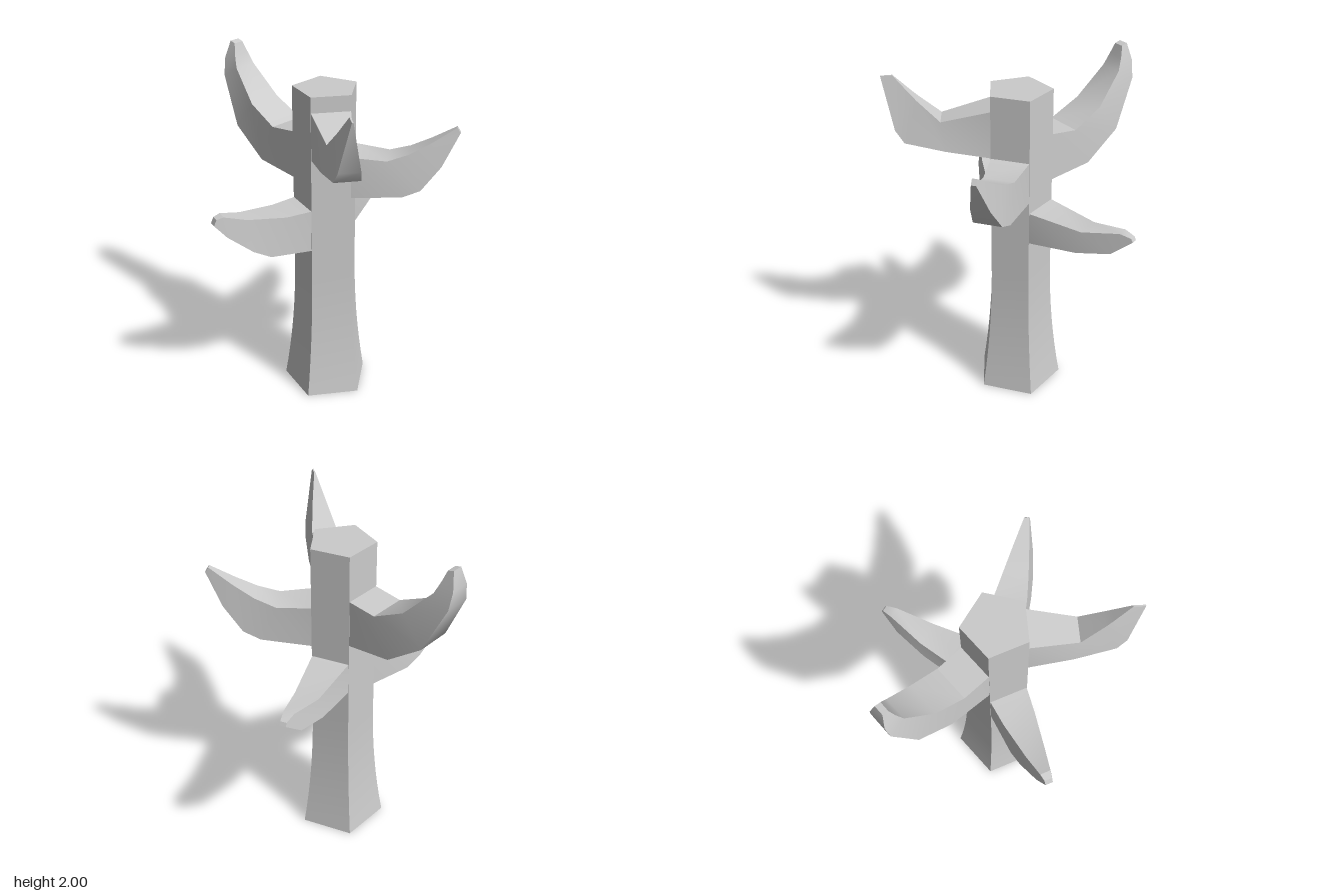
import * as THREE from 'three';
import { toCreasedNormals } from 'three/addons/utils/BufferGeometryUtils.js';

const CREASE = 0.5;
const FIFTH = (Math.PI * 2) / 5;
const TURN = THREE.MathUtils.degToRad(2.6);
const BASE_REACH = 0.15;
const BASE_HALF_WIDTH = 0.11;

// Turn an edge path of [reach, height] points into [reach, height, half width],
// narrowing with the length travelled; a higher power stays wide for longer
function taperedEdge(baseHeight, path, tipHalfWidth, power) {
  const pts = [[BASE_REACH, baseHeight], ...path];
  const run = [0];
  for (let i = 1; i < pts.length; i++) {
    run.push(run[i - 1] + Math.hypot(pts[i][0] - pts[i - 1][0], pts[i][1] - pts[i - 1][1]));
  }
  const total = run[run.length - 1];
  return pts.map(([z, y], i) => [
    z, y, THREE.MathUtils.lerp(BASE_HALF_WIDTH, tipHalfWidth, (run[i] / total) ** power)]);
}

// Loft four-cornered sections between the two edges along +z and cap the tip
function armGeometry(top, bottom) {
  const points = [];
  const index = [];
  top.forEach(([zt, yt, wt], i) => {
    const [zb, yb, wb] = bottom[i];
    points.push(wt, yt, zt, -wt, yt, zt, -wb, yb, zb, wb, yb, zb);
  });
  const last = (top.length - 1) * 4;
  for (let s = 0; s < last; s += 4) {
    for (let j = 0; j < 4; j++) {
      const a = s + j;
      const b = s + ((j + 1) % 4);
      index.push(a, b, b + 4, a, b + 4, a + 4);
    }
  }
  index.push(last, last + 1, last + 2, last, last + 2, last + 3);
  const g = new THREE.BufferGeometry();
  g.setAttribute('position', new THREE.Float32BufferAttribute(points, 3));
  g.setIndex(index);
  return toCreasedNormals(g, CREASE);
}

// Five-sided trunk whose foot flares out in a curve
function trunkGeometry() {
  const height = 1.89;
  const flareTop = 0.8;
  const g = new THREE.CylinderGeometry(0.19, 0.19, height, 5, 19, false, FIFTH / 2 + TURN);
  g.translate(0, height / 2, 0);
  const p = g.attributes.position;
  for (let i = 0; i < p.count; i++) {
    const t = Math.max(0, 1 - p.getY(i) / flareTop);
    const k = 1 + 0.36 * t * t;
    p.setX(i, p.getX(i) * k);
    p.setZ(i, p.getZ(i) * k);
  }
  return toCreasedNormals(g, CREASE);
}

export function createModel() {
  const model = new THREE.Group();
  model.name = 'branchedPost';
  const material = new THREE.MeshStandardMaterial({ color: 0xcccccc });

  const add = (name, geometry, angle) => {
    const mesh = new THREE.Mesh(geometry, material);
    mesh.name = name;
    mesh.position.set(-0.027, 0, -0.055);
    mesh.rotation.y = angle;
    model.add(mesh);
  };

  // One arm grows out of each trunk face, counted round from the front
  const addArm = (name, face, tip, topBase, topPath, bottomBase, bottomPath, powers = [1.3, 1.8]) => {
    const top = taperedEdge(topBase, topPath, tip, powers[0]);
    const bottom = taperedEdge(bottomBase, bottomPath, tip, powers[1]);
    add(name, armGeometry(top, bottom), TURN + face * FIFTH);
  };

  add('trunk', trunkGeometry(), 0);

  // Pointed front arm
  addArm('frontArm', 0, 0.004,
    1.80, [[0.425, 1.725], [0.55, 1.835], [0.59, 1.875], [0.68, 1.97]],
    1.525, [[0.4, 1.56], [0.625, 1.6], [0.675, 1.67], [0.745, 1.965]]);

  // Upswept left arm
  addArm('leftArm', 1, 0.014,
    1.525, [[0.35, 1.505], [0.47, 1.545], [0.59, 1.61], [0.725, 1.695]],
    1.28, [[0.44, 1.295], [0.54, 1.335], [0.65, 1.475], [0.744, 1.665]]);

  // Low, nearly level arms
  addArm('backLeftArm', 2, 0.018,
    1.215, [[0.47, 1.185], [0.69, 1.23], [0.755, 1.215]],
    1.025, [[0.45, 1.055], [0.65, 1.1], [0.765, 1.195]]);
  addArm('rightArm', 4, 0.022,
    1.215, [[0.3, 1.205], [0.52, 1.225], [0.65, 1.26], [0.69, 1.25]],
    0.965, [[0.4, 0.98], [0.5, 1.03], [0.64, 1.14], [0.705, 1.215]]);

  // Tall, broad arm with a rounded tip
  addArm('backRightArm', 3, 0.03,
    1.62, [[0.32, 1.6], [0.5, 1.69], [0.66, 1.86], [0.69, 1.93], [0.71, 1.99]],
    1.34, [[0.42, 1.37], [0.63, 1.525], [0.76, 1.8], [0.768, 1.9], [0.745, 2.0]],
    [3, 4]);

  return model;
}
